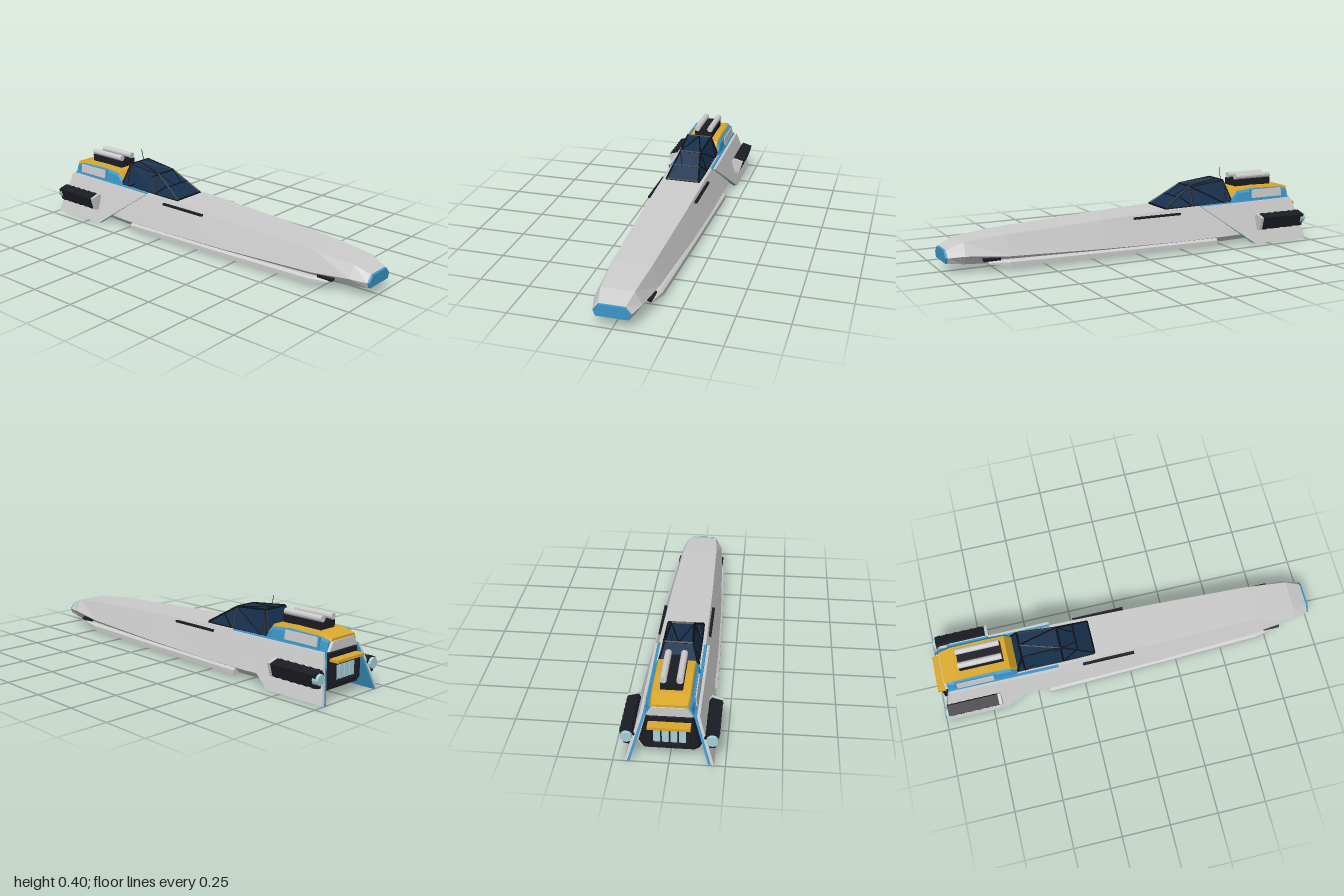
import * as THREE from 'three';

const mat = (color) => new THREE.MeshStandardMaterial({ color, flatShading: true });

// Skin a list of { z, pts } rings (front to back, counter-clockwise seen from +z)
function loft(rings) {
  const v = [];
  const put = (r, i) => v.push(r.pts[i][0], r.pts[i][1], r.z);
  const n = rings[0].pts.length;
  for (let k = 0; k < rings.length - 1; k++) {
    const a = rings[k], b = rings[k + 1];
    for (let i = 0; i < n; i++) {
      const j = (i + 1) % n;
      put(a, i); put(b, i); put(a, j);
      put(a, j); put(b, i); put(b, j);
    }
  }
  const f = rings[0], e = rings[rings.length - 1];
  for (let i = 1; i < n - 1; i++) {
    put(f, 0); put(f, i); put(f, i + 1);
    put(e, 0); put(e, i + 1); put(e, i);
  }
  const g = new THREE.BufferGeometry();
  g.setAttribute('position', new THREE.Float32BufferAttribute(v, 3));
  g.computeVertexNormals();
  return g;
}

// Symmetric ring from half-profile values: z, then (y, halfWidth) pairs top to bottom
function ring(z, ...p) {
  const right = [], left = [];
  for (let i = 0; i < p.length; i += 2) {
    left.push([-p[i + 1], p[i]]);
    right.unshift([p[i + 1], p[i]]);
  }
  return { z, pts: [...left, ...right] };
}

// Mirror a geometry across x = 0 and keep its faces outward
function mirrored(geo) {
  const g = geo.index ? geo.toNonIndexed() : geo.clone();
  const p = g.attributes.position;
  for (let i = 0; i < p.count; i += 3) {
    const b = [p.getX(i + 1), p.getY(i + 1), p.getZ(i + 1)];
    p.setXYZ(i, -p.getX(i), p.getY(i), p.getZ(i));
    p.setXYZ(i + 1, -p.getX(i + 2), p.getY(i + 2), p.getZ(i + 2));
    p.setXYZ(i + 2, -b[0], b[1], b[2]);
  }
  g.computeVertexNormals();
  return g;
}

function box(w, h, d, x, y, z, tilt = 0) {
  return new THREE.BoxGeometry(w, h, d).rotateZ(tilt).translate(x, y, z);
}

function rod(a, b, r, sides = 4) {
  const A = new THREE.Vector3(...a), B = new THREE.Vector3(...b);
  const d = B.clone().sub(A);
  const g = new THREE.CylinderGeometry(r, r, d.length(), sides);
  g.applyQuaternion(new THREE.Quaternion().setFromUnitVectors(new THREE.Vector3(0, 1, 0), d.normalize()));
  return g.translate(...A.add(B).multiplyScalar(0.5).toArray());
}

// Plate from a (z, y) outline, leaning outward towards the bottom
function leaningPlate(outline, inner, thick) {
  const shape = new THREE.Shape(outline.map(([z, y]) => new THREE.Vector2(-z, y)));
  const g = new THREE.ExtrudeGeometry(shape, { depth: thick, bevelEnabled: false });
  g.rotateY(Math.PI / 2);
  const p = g.attributes.position;
  for (let i = 0; i < p.count; i++) p.setX(i, p.getX(i) + inner - 0.31 * p.getY(i));
  g.computeVertexNormals();
  return g;
}

export function createModel() {
  const root = new THREE.Group();
  const grey = mat(0xcccccc), blue = mat(0x3a96c8), yellow = mat(0xdba92c), dark = mat(0x1b1d24);
  const glass = mat(0x17314f), frame = mat(0x0c0f16), pale = mat(0xa5d0d8), teal = mat(0x3c8088);
  const add = (name, geo, m, parent = root) => {
    const mesh = new THREE.Mesh(geo, m);
    mesh.name = name;
    parent.add(mesh);
    return mesh;
  };
  const pair = (name, geo, m, parent) => {
    add(name + 'Left', geo, m, parent);
    add(name + 'Right', mirrored(geo), m, parent);
  };

  // Hull, nose face
  add('hull', loft([
    ring(0.99, 0.117, 0.062, 0.083, 0.09, 0.055, 0.078),
    ring(0.91, 0.15, 0.08, 0.088, 0.113, 0.045, 0.085),
    ring(0.7, 0.17, 0.095, 0.07, 0.13, 0.035, 0.1),
    ring(0.2, 0.196, 0.108, 0.058, 0.155, 0.025, 0.125),
    ring(-0.2, 0.214, 0.113, 0.052, 0.165, 0.022, 0.14),
    ring(-0.5, 0.219, 0.115, 0.052, 0.168, 0.024, 0.145),
    ring(-0.92, 0.222, 0.11, 0.06, 0.15, 0.03, 0.135),
  ]), grey);
  add('noseFace', loft([
    ring(1, 0.114, 0.059, 0.083, 0.087, 0.056, 0.076),
    ring(0.985, 0.117, 0.062, 0.083, 0.09, 0.055, 0.078),
  ]), blue);

  // Lower side rails, slots and belly panels
  const railRing = (z, x, lo, hi) => ({ z, pts: [[x, hi - 0.01], [x - 0.012, hi], [x - 0.06, hi], [x - 0.06, lo], [x, lo]] });
  pair('sideRail', loft([
    railRing(0.8, 0.125, 0.04, 0.056), railRing(0.7, 0.147, 0.022, 0.055),
    railRing(0.2, 0.164, 0.018, 0.052), railRing(-0.44, 0.182, 0.016, 0.05),
  ]), grey);
  pair('sideSlot', box(0.014, 0.01, 0.27, 0.125, 0.19, -0.11), dark);
  pair('noseVent', box(0.022, 0.012, 0.085, 0.119, 0.064, 0.785, -0.3), dark);
  [0.55, 0.15, -0.28, -0.72].forEach((z, i) =>
    pair('bellyPanel' + (i + 1), box(0.05, 0.006, 0.15, 0.098, 0.0235 + (z < -0.5 ? 0.003 : z > 0.4 ? 0.007 : 0), z), teal));

  // Canopy glass and its frame
  const canopy = new THREE.Group();
  canopy.name = 'canopy';
  root.add(canopy);
  const ribs = [[-0.175, 0.219, 0.088, 0.09], [-0.34, 0.318, 0.056, 0.094], [-0.54, 0.338, 0.067, 0.097], [-0.578, 0.232, 0.096, 0.098]];
  add('canopyGlass', loft(ribs.map(([z, y, t, b]) => ring(z, y, t, 0.212, b))), glass, canopy);
  const top = (i, s) => [s * ribs[i][2], ribs[i][1], ribs[i][0]];
  const base = (i, s) => [s * ribs[i][3], 0.215, ribs[i][0]];
  const mix = (a, b, t) => a.map((v, i) => v + (b[i] - v) * t);
  const beam = (a, b, r = 0.005) => add('canopyBeam', rod(a, b, r), frame, canopy);
  for (const s of [1, -1]) {
    for (let i = 0; i < 3; i++) {
      beam(top(i, s), top(i + 1, s));
      beam(base(i, s), base(i + 1, s));
    }
    beam(top(1, s), base(1, s));
    beam(top(2, s), base(2, s));
    beam(mix(top(0, s), top(1, s), 0.55), base(1, s), 0.004);
    beam(top(1, s), base(2, s), 0.004);
    beam(top(1, s), [0, 0.338, -0.54], 0.004);
    beam(top(1, s), [s * 0.025, 0.268, -0.257], 0.003);
  }
  for (let i = 0; i < 4; i++) beam(top(i, 1), top(i, -1));
  beam(mix(top(0, 1), top(1, 1), 0.5), mix(top(0, -1), top(1, -1), 0.5), 0.004);
  add('antenna', rod([0.037, 0.335, -0.545], [0.022, 0.402, -0.545], 0.0015, 6), dark);

  // Cabin behind the canopy: blue sides, yellow roof, grey back
  add('cabinBody', loft([
    ring(-0.578, 0.235, 0.088, 0.23, 0.1, 0.215, 0.104),
    ring(-0.61, 0.28, 0.086, 0.265, 0.102, 0.215, 0.11),
    ring(-0.72, 0.291, 0.084, 0.27, 0.105, 0.215, 0.115),
    ring(-0.88, 0.288, 0.084, 0.268, 0.103, 0.215, 0.113),
    ring(-0.94, 0.276, 0.078, 0.26, 0.096, 0.215, 0.108),
  ]), blue);
  add('cabinRoof', loft([
    ring(-0.574, 0.238, 0.089, 0.228, 0.091),
    ring(-0.61, 0.286, 0.087, 0.272, 0.092),
    ring(-0.72, 0.296, 0.085, 0.28, 0.092),
    ring(-0.88, 0.293, 0.085, 0.278, 0.092),
    ring(-0.948, 0.279, 0.078, 0.266, 0.086),
  ]), yellow);
  add('cabinBack', loft([ring(-0.935, 0.27, 0.078, 0.222, 0.105), ring(-0.952, 0.266, 0.074, 0.222, 0.1)]), grey);
  pair('cabinSidePanel', box(0.012, 0.046, 0.19, 0.109, 0.257, -0.795, 0.12), grey);
  pair('cabinSideTrim', box(0.008, 0.056, 0.21, 0.106, 0.254, -0.795, 0.12), blue);

  // Roof pack with slats and two round tanks
  add('roofPack', box(0.1, 0.036, 0.225, 0, 0.312, -0.745), dark);
  for (let i = 0; i < 6; i++) add('roofSlat', box(0.04, 0.008, 0.018, 0, 0.332, -0.65 - i * 0.038), dark);
  pair('roofTank', new THREE.CylinderGeometry(0.016, 0.016, 0.222, 12).rotateX(Math.PI / 2).translate(0.037, 0.345, -0.748), grey);

  // Leaning rear fins: grey outside, blue inside
  const fin = [[-0.37, 0.216], [-0.94, 0.222], [-0.955, 0.18], [-1, 0.003], [-0.67, 0.003]];
  pair('finOuter', leaningPlate(fin, 0.187, 0.014), grey);
  pair('finInner', leaningPlate(fin.map(([z, y]) => [z, y + (y > 0.2 ? 0.004 : -0.003)]), 0.175, 0.0125), blue);

  // Side thruster pods
  const podPts = [[0.222, 0.142], [0.168, 0.158], [0.15, 0.128], [0.178, 0.071], [0.203, 0.075]];
  const pod = (z, s = 1) => ({ z, pts: podPts.map(([x, y]) => [0.187 + (x - 0.187) * s, 0.115 + (y - 0.115) * s]) });
  pair('podCap', loft([pod(-0.692), pod(-0.708)]), grey);
  pair('podBody', loft([pod(-0.708, 0.95), pod(-0.97, 0.95)]), dark);
  for (let i = 0; i < 6; i++) pair('podRib', loft([pod(-0.725 - i * 0.043), pod(-0.74 - i * 0.043)]), dark);
  pair('podNozzle', new THREE.CylinderGeometry(0.03, 0.026, 0.03, 12).rotateX(Math.PI / 2).translate(0.19, 0.118, -0.968), pale);

  // Main engine: dark block, glowing windows, yellow lip
  add('engineBlock', loft([
    ring(-0.915, 0.22, 0.106, 0.06, 0.147, 0.032, 0.132),
    ring(-0.95, 0.212, 0.1, 0.07, 0.125, 0.045, 0.11),
  ]), dark);
  for (const y of [0.078, 0.17]) add('engineFrameBar', box(0.17, 0.012, 0.035, 0, y, -0.96), dark);
  pair('engineFrameSide', box(0.012, 0.1, 0.035, 0.085, 0.124, -0.96), dark);
  for (let i = 0; i < 4; i++) add('engineWindow', box(0.03, 0.075, 0.012, -0.057 + i * 0.038, 0.124, -0.954), pale);
  add('engineLip', box(0.19, 0.014, 0.055, 0, 0.183, -0.968), yellow);
  return root;
}
